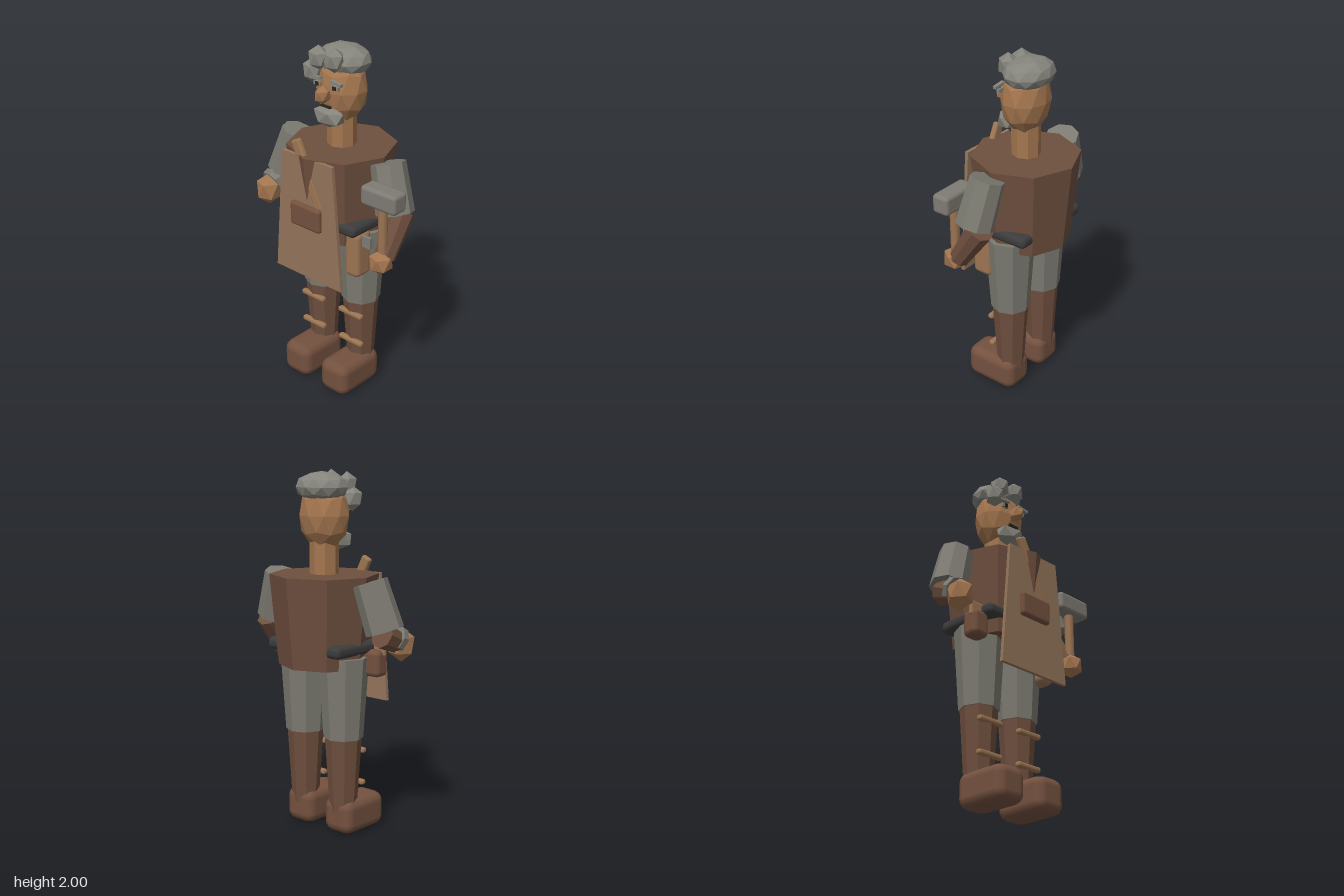
import * as THREE from 'three';
import { RoundedBoxGeometry } from 'three/addons/geometries/RoundedBoxGeometry.js';

const CX = -0.02; // body axis

export function createModel() {
  const root = new THREE.Group();
  root.name = 'craftsman';

  const mat = (name, color, flatShading = true) => {
    const m = new THREE.MeshStandardMaterial({ color, flatShading });
    m.name = name;
    return m;
  };
  const skin = mat('skin', 0xa4764f);
  const vest = mat('vestBrown', 0x6e4f3e);
  const cloth = mat('greyCloth', 0x7c7a71);
  const hairGrey = mat('hairGrey', 0x85847c);
  const tan = mat('apronTan', 0x94755a);
  const wood = mat('woodAndStrap', 0x9c7553, false);
  const leather = mat('leather', 0x74513f, false);
  const beltBlack = mat('beltBlack', 0x3c3c3d, false);
  const stone = mat('toolGrey', 0x7f7b74, false);
  const dark = mat('darkDetail', 0x2a2420, false);

  const add = (name, geo, material, x = 0, y = 0, z = 0) => {
    const m = new THREE.Mesh(geo, material);
    m.name = name;
    m.position.set(x, y, z);
    root.add(m);
    return m;
  };
  // icosphere with a vertex at the top, scaled to given radii
  const ico = (name, material, pos, radii, detail = 0) => {
    const g = new THREE.IcosahedronGeometry(1, detail);
    g.rotateZ(-Math.atan(2 / (1 + Math.sqrt(5))));
    g.scale(...radii);
    return add(name, g, material, ...pos);
  };
  const rbox = (name, material, pos, size, r, seg = 2) =>
    add(name, new RoundedBoxGeometry(...size, seg, r), material, ...pos);
  const box = (name, material, pos, size) =>
    add(name, new THREE.BoxGeometry(...size), material, ...pos);
  // faceted limb running from a to b
  const limb = (name, material, a, b, ra, rb, sides = 8) => {
    const A = new THREE.Vector3(...a), B = new THREE.Vector3(...b);
    const dir = A.clone().sub(B);
    const m = add(name, new THREE.CylinderGeometry(ra, rb, dir.length(), sides), material);
    m.position.copy(A).add(B).multiplyScalar(0.5);
    m.quaternion.setFromUnitVectors(new THREE.Vector3(0, 1, 0), dir.normalize());
    return m;
  };

  // torso, neck, belt
  limb('torso', vest, [CX, 1.44, 0], [CX, 0.94, 0], 0.3, 0.25);
  limb('neck', skin, [CX, 1.63, 0], [CX, 1.44, 0], 0.08, 0.08);
  rbox('belt', beltBlack, [CX, 1.05, 0.01], [0.53, 0.07, 0.39], 0.03);

  // head and hair
  ico('head', skin, [CX, 1.755, 0], [0.15, 0.19, 0.127], 1);
  ico('hair', hairGrey, [CX, 1.907, -0.02], [0.158, 0.084, 0.13], 1);
  for (const [x, y] of [[-0.14, 1.845], [-0.1, 1.92], [0.013, 1.93]])
    ico('curl', hairGrey, [x, y, 0.092], [0.06, 0.069, 0.056]);
  ico('beard', hairGrey, [CX, 1.622, 0.1], [0.11, 0.064, 0.06]);
  ico('nose', skin, [CX, 1.75, 0.142], [0.037, 0.05, 0.06]);
  box('mouth', dark, [CX, 1.68, 0.122], [0.065, 0.012, 0.012]);
  for (const s of [-1, 1]) {
    box('eye', hairGrey, [CX + s * 0.064, 1.793, 0.117], [0.045, 0.022, 0.014]);
    box('pupil', dark, [CX + s * 0.06, 1.793, 0.125], [0.022, 0.02, 0.008]);
    box('eyebrow', hairGrey, [CX + s * 0.073, 1.823, 0.122], [0.075, 0.015, 0.022]).rotation.z = -s * 0.12;
  }

  // legs and boots
  for (const s of [-1, 1]) {
    const x = CX + s * 0.143;
    limb('trouserLeg', cloth, [x, 1.0, 0], [x, 0.545, 0], 0.14, 0.11);
    limb('legWrap', vest, [x, 0.56, 0], [x, 0.12, 0], 0.103, 0.075);
    rbox('wrapStrap', wood, [x, 0.465, 0.085], [0.17, 0.03, 0.035], 0.012);
    rbox('wrapStrap', wood, [x, 0.282, 0.08], [0.17, 0.03, 0.035], 0.012);
    rbox('boot', leather, [x, 0.0975, 0.093], [0.195, 0.195, 0.325], 0.055);
  }

  // apron with its pocket and tucked tool
  const s = new THREE.Shape();
  s.moveTo(-0.24, 0.72);
  s.lineTo(0.24, 0.72);
  s.lineTo(0.18, 1.435);
  s.lineTo(-0.18, 1.435);
  s.closePath();
  add('apron', new THREE.ExtrudeGeometry(s, { depth: 0.02, bevelEnabled: false }), tan, CX, 0, 0.255);
  rbox('apronPocket', leather, [CX - 0.002, 1.097, 0.275], [0.215, 0.138, 0.05], 0.018);
  rbox('tuckedHandle', wood, [CX, 1.335, 0.259], [0.06, 0.4, 0.036], 0.012).rotation.z = 0.46;

  // sleeves
  for (const k of [-1, 1])
    limb('sleeve', cloth, [CX + k * 0.325, 1.42, 0], [CX + k * 0.405, 1.163, 0.03], 0.095, 0.105);

  // right forearm, reaching forward
  limb('rightForearm', vest, [-0.43, 1.15, 0], [-0.445, 1.09, 0.13], 0.075, 0.058);
  limb('rightCuff', cloth, [-0.438, 1.125, 0.09], [-0.442, 1.108, 0.125], 0.078, 0.075);
  ico('rightHand', skin, [-0.445, 1.08, 0.145], [0.078, 0.095, 0.078]);

  // left forearm, hanging and holding the mallet
  limb('leftForearm', vest, [0.39, 1.16, -0.015], [0.4, 0.94, 0.13], 0.075, 0.058);
  ico('leftHand', skin, [0.4, 0.928, 0.157], [0.07, 0.073, 0.07]);
  limb('malletHandle', wood, [0.403, 1.26, 0.15], [0.403, 0.93, 0.15], 0.026, 0.026, 8);
  rbox('malletHead', stone, [0.402, 1.3, 0.15], [0.235, 0.11, 0.105], 0.022);

  // hip gear
  rbox('leftPouch', wood, [0.195, 0.895, 0.11], [0.1, 0.27, 0.12], 0.03);
  box('leftHipTool', stone, [0.27, 0.985, 0.122], [0.06, 0.065, 0.02]);
  rbox('rightPouch', leather, [-0.295, 0.965, 0.11], [0.11, 0.15, 0.1], 0.03);
  rbox('rightHipTool', wood, [-0.31, 1.045, 0.125], [0.09, 0.085, 0.03], 0.012);

  return root;
}
